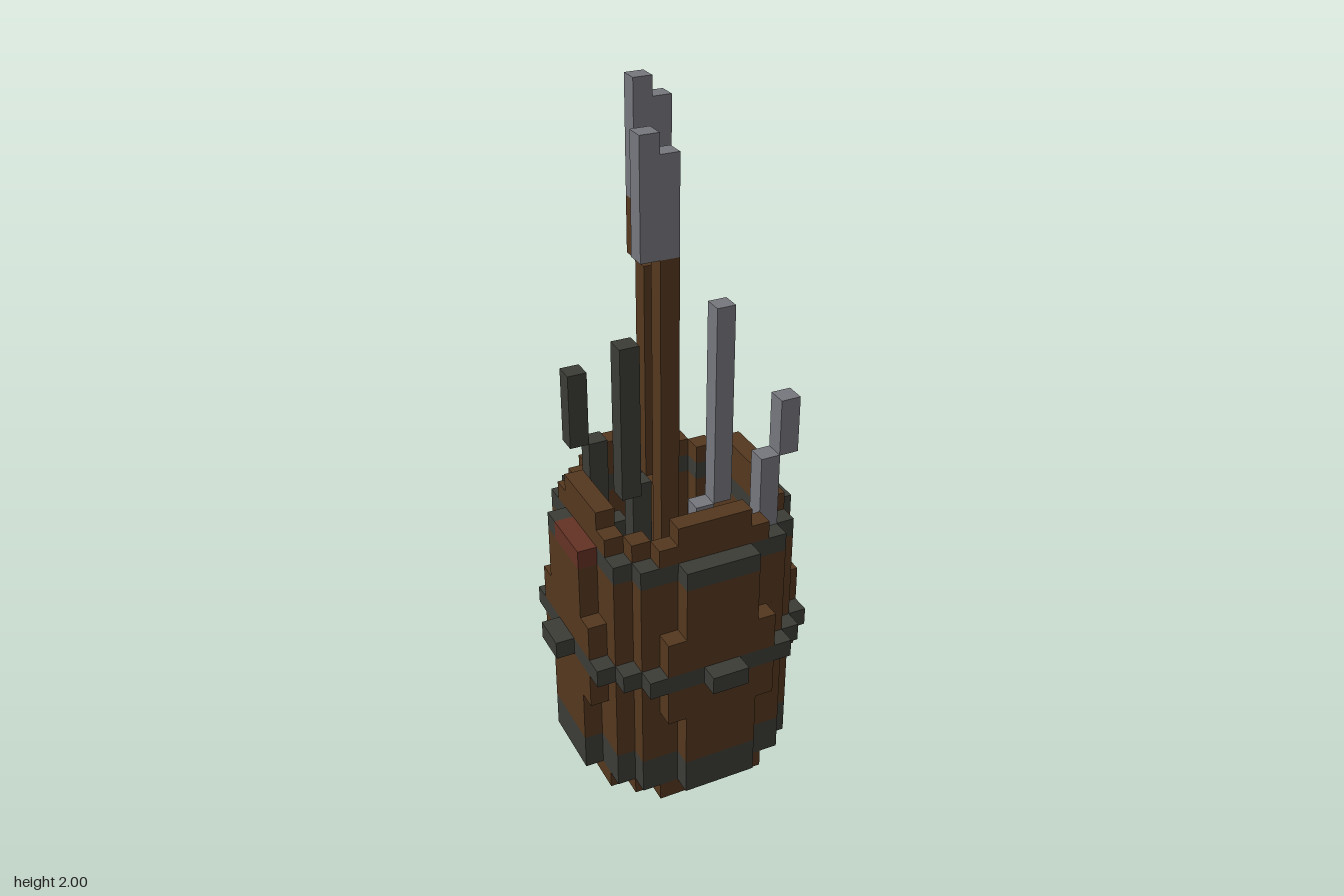
import * as THREE from 'three';

const U = 1 / 18; // edge of one cube

const material = (name, color) => {
  const m = new THREE.MeshStandardMaterial({ color });
  m.name = name;
  return m;
};

// Stepped ring outlines: half width of each row, counted out from the centre
const HOLLOW = [4, 4, 4, 3];
const INNER = [5, 5, 5, 4, 3];
const ENDS = [6, 6, 5, 5, 4, 2];
const BULGE = [6, 6, 6, 5, 4, 3];
const HOOP = [6, 6, 6, 6, 5, 4];

// One quadrant of the staircase, turned four times
function outline(rows) {
  const quarter = [];
  rows.forEach((w, r) => {
    if (r > 0 && rows[r - 1] !== w) quarter.push([w, r]);
    if (rows[r + 1] !== w) quarter.push([w, r + 1]);
  });
  const points = [];
  for (let k = 0; k < 4; k++) {
    for (const [x, y] of quarter) {
      const turned = [[x, y], [-y, x], [-x, -y], [y, -x]][k];
      points.push(new THREE.Vector2(turned[0], turned[1]));
    }
  }
  return points;
}

export function createModel() {
  const wood = material('wood', 0x54381f);
  const iron = material('dark iron', 0x3b3c36);
  const steel = material('steel', 0x76777d);
  const rust = material('rust', 0x643124);

  const model = new THREE.Group();
  model.name = 'weaponBarrel';
  const group = (name) => {
    const g = new THREE.Group();
    g.name = name;
    model.add(g);
    return g;
  };

  // Box from its lowest corner and size in cubes, optionally grown a hair
  function block(parent, name, mat, [x, y, z], [w, h, d], grow = 0) {
    const mesh = new THREE.Mesh(new THREE.BoxGeometry(w + grow, h + grow, d + grow), mat);
    mesh.position.set(x + w / 2, y + h / 2, z + d / 2);
    mesh.name = name;
    parent.add(mesh);
  }

  // Barrel wall, layer by layer
  const barrel = group('barrel');
  const layers = [
    ['baseRing', INNER, wood, 0, 1],
    ['lowerBand', ENDS, iron, 1, 3],
    ['lowerStaves', ENDS, wood, 3, 6],
    ['bulgeStavesBelow', BULGE, wood, 6, 8],
    ['middleHoop', HOOP, iron, 8, 9],
    ['bulgeStavesAbove', BULGE, wood, 9, 11],
    ['upperStaves', ENDS, wood, 11, 14],
    ['upperBand', ENDS, iron, 14, 15],
    ['rim', INNER, wood, 15, 16],
  ];
  for (const [name, rows, mat, y0, y1] of layers) {
    const shape = new THREE.Shape(outline(rows));
    shape.holes.push(new THREE.Path(outline(HOLLOW)));
    const geometry = new THREE.ExtrudeGeometry(shape, { depth: y1 - y0, bevelEnabled: false });
    geometry.rotateX(-Math.PI / 2);
    const mesh = new THREE.Mesh(geometry, mat);
    mesh.position.y = y0;
    mesh.name = name;
    barrel.add(mesh);
  }

  // Inner floor
  const floor = new THREE.Mesh(
    new THREE.ExtrudeGeometry(new THREE.Shape(outline(HOLLOW)), { depth: 1, bevelEnabled: false }), wood);
  floor.rotation.x = -Math.PI / 2;
  floor.position.y = 5;
  floor.name = 'floor';
  barrel.add(floor);

  // Raised rim staves and hoop clasps on all four sides
  for (const s of [-1, 1]) {
    const rim = s > 0 ? 4 : -5;
    const clasp = s > 0 ? 6 : -7;
    block(barrel, 'rimStave', wood, [-2, 16, rim], [4, 1, 1]);
    block(barrel, 'rimStave', wood, [rim, 16, -2], [1, 1, 4]);
    block(barrel, 'clasp', iron, [-1, 8, clasp], [2, 1, 1]);
    block(barrel, 'clasp', iron, [clasp, 8, -1], [1, 1, 2]);
  }

  // Rust patches on the bands
  const patches = [
    [[-6, 14, -1], [1, 1, 3]],
    [[-1, 14, -6], [2, 1, 1]],
    [[5, 2, -1], [1, 1, 1]],
    [[-4, 1, -5], [1, 1, 1]],
    [[-5, 1, -4], [1, 1, 1]],
    [[2, 1, -5], [1, 2, 1]],
  ];
  for (const [at, size] of patches) block(barrel, 'rustPatch', rust, at, size, 0.03);

  // Weapons as stepped columns: material, x, z, bottom, top
  const weapons = {
    centreAxe: [[wood, -1, 0, 6, 29], [steel, -2, 0, 29, 35], [steel, -1, 0, 29, 34]],
    backAxe: [[wood, 0, -3, 6, 15], [wood, 0, -4, 15, 27], [wood, 0, -5, 27, 30],
      [steel, 0, -5, 30, 36], [steel, 1, -5, 30, 35]],
    longSteelBlade: [[steel, 1, 0, 6, 15], [steel, 2, 0, 15, 26]],
    shortSteelBlade: [[steel, 2, 2, 10, 15], [steel, 3, 3, 15, 19], [steel, 4, 3, 19, 22]],
    longDarkBlade: [[iron, -3, 1, 10, 18], [iron, -4, 2, 18, 26]],
    shortDarkBlade: [[iron, -3, -2, 9, 14], [iron, -4, -2, 14, 19], [iron, -5, -2, 19, 23]],
  };
  for (const [name, columns] of Object.entries(weapons)) {
    const weapon = group(name);
    for (const [mat, x, z, y0, y1] of columns) {
      // the short steel blade cuts through the rim, so it sits just proud of it
      const grow = name === 'shortSteelBlade' ? 0.03 : 0;
      block(weapon, mat === wood ? 'handle' : 'blade', mat, [x, y0, z], [1, y1 - y0, 1], grow);
    }
  }

  model.scale.setScalar(U);
  return model;
}
